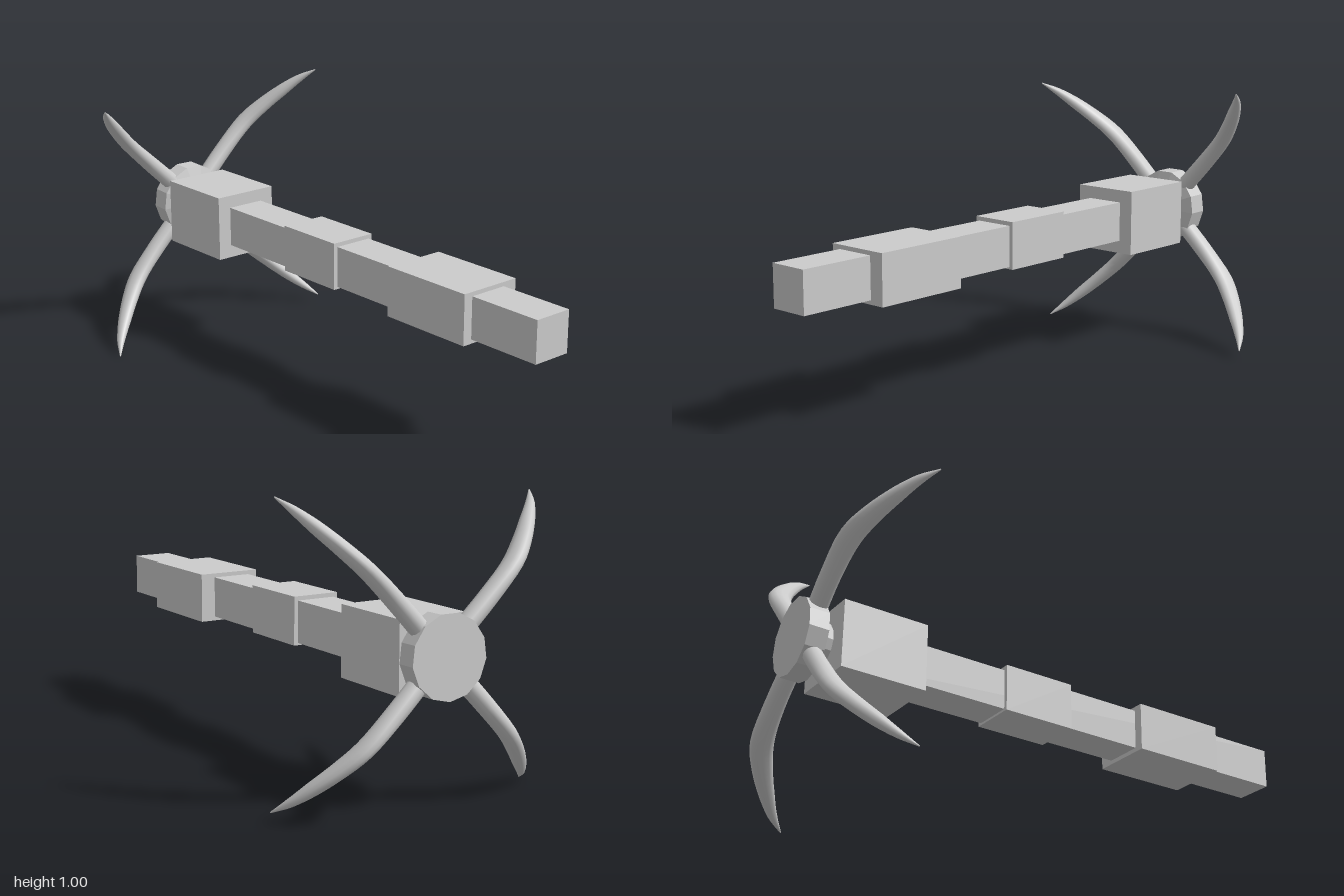
import * as THREE from 'three';

const smooth = new THREE.MeshStandardMaterial({ color: 0xcccccc });
const flat = new THREE.MeshStandardMaterial({ color: 0xcccccc, flatShading: true });

// Box given by its limits on each axis
function block(name, x0, x1, y0, y1, z0, z1) {
  const mesh = new THREE.Mesh(new THREE.BoxGeometry(x1 - x0, y1 - y0, z1 - z0), flat);
  mesh.position.set((x0 + x1) / 2, (y0 + y1) / 2, (z0 + z1) / 2);
  mesh.name = name;
  return mesh;
}

// Curved, tapering claw in the x-z plane: x runs outward, z runs forward.
// Stations: distance outward, z, half thickness, half width
const stations = [
  [0.08, 0, 0.034, 0.033],
  [0.24, -0.003, 0.036, 0.031],
  [0.38, 0.008, 0.041, 0.027],
  [0.47, 0.045, 0.036, 0.025],
  [0.56, 0.098, 0.027, 0.022],
  [0.63, 0.148, 0.016, 0.014],
  [0.683, 0.2, 0.002, 0.002],
];

function clawGeometry(steps = 24, sides = 12) {
  const path = new THREE.CatmullRomCurve3(stations.map(([r, z]) => new THREE.Vector3(r, 0, z)));
  const size = new THREE.CatmullRomCurve3(stations.map(([, , t, w]) => new THREE.Vector3(t, w, 0)));
  const positions = [];
  const index = [];
  for (let i = 0; i <= steps; i++) {
    const p = path.getPoint(i / steps);
    const d = path.getTangent(i / steps);
    const s = size.getPoint(i / steps);
    for (let j = 0; j < sides; j++) {
      const a = (j / sides) * Math.PI * 2;
      const u = Math.cos(a) * s.x;
      positions.push(p.x - d.z * u, Math.sin(a) * s.y, p.z + d.x * u);
      if (i < steps) {
        const k = i * sides + j;
        const n = i * sides + ((j + 1) % sides);
        index.push(k, k + sides, n, n, k + sides, n + sides);
      }
    }
  }
  // Close the pointed end
  const tip = positions.length / 3;
  const end = path.getPoint(1);
  positions.push(end.x, end.y, end.z);
  for (let j = 0; j < sides; j++) {
    index.push(steps * sides + j, tip, steps * sides + ((j + 1) % sides));
  }
  const geo = new THREE.BufferGeometry();
  geo.setAttribute('position', new THREE.Float32BufferAttribute(positions, 3));
  // Make sure the faces point outward
  const v = (n) => new THREE.Vector3().fromArray(positions, index[n] * 3);
  const normal = v(1).sub(v(0)).cross(v(2).sub(v(0)));
  const outward = v(0).sub(path.getPoint(0));
  if (normal.dot(outward) < 0) index.reverse();
  geo.setIndex(index);
  geo.computeVertexNormals();
  return geo;
}

export function createModel() {
  const model = new THREE.Group();
  model.name = 'grapplingHook';

  // Square handle with three collars
  model.add(
    block('shaft', -0.09, 0.055, 0.42, 0.568, -0.86, 1),
    block('frontCollar', -0.125, 0.11, 0.405, 0.583, 0.36, 0.72),
    block('middleCollar', -0.105, 0.07, 0.412, 0.583, -0.215, 0.06),
    block('rearCollar', -0.143, 0.11, 0.372, 0.615, -0.875, -0.56),
  );

  // Slightly tilted head
  const head = new THREE.Group();
  head.name = 'head';
  head.position.set(0, 0.504, -0.943);
  head.rotation.set(0.027, -0.03, 0);
  model.add(head);

  // Thirteen-sided hub with a chamfered front, and its neck
  const profile = [[0, -0.044], [0.139, -0.044], [0.139, 0.026], [0.08, 0.044], [0.075, 0.085], [0, 0.085]]
    .map(([r, y]) => new THREE.Vector2(r, y));
  const hub = new THREE.Mesh(new THREE.LatheGeometry(profile, 13), flat);
  hub.rotation.x = Math.PI / 2;
  hub.name = 'hub';
  head.add(hub);

  // Four claws
  const geo = clawGeometry();
  for (let i = 0; i < 4; i++) {
    const claw = new THREE.Mesh(geo, smooth);
    claw.rotation.z = THREE.MathUtils.degToRad(46.8 + 90 * i);
    claw.name = 'claw' + (i + 1);
    head.add(claw);
  }
  return model;
}
